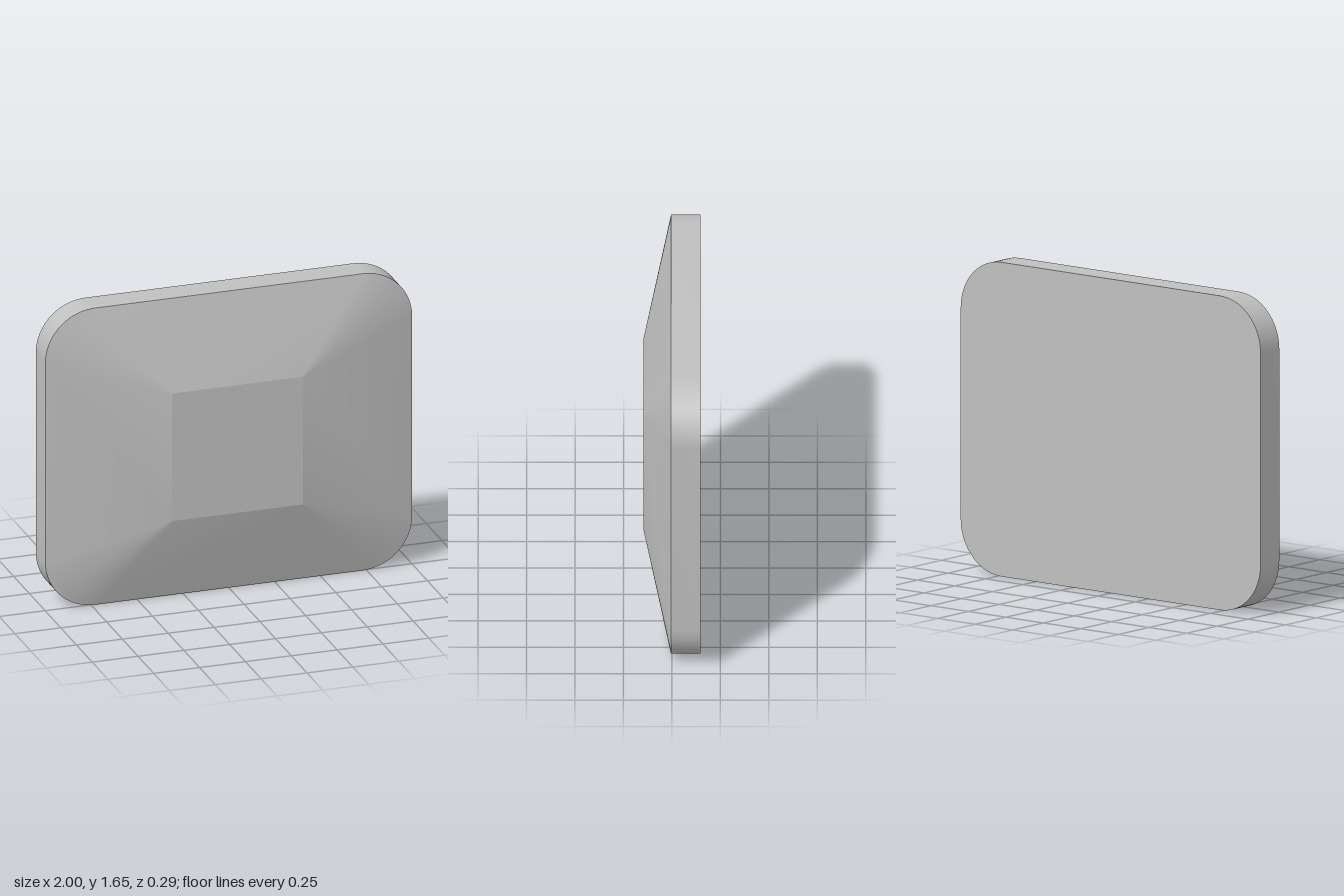
import * as THREE from 'three';
import { toCreasedNormals } from 'three/addons/utils/BufferGeometryUtils.js';

const HALF_W = 1, HALF_H = 0.825, RADIUS = 0.27, STEPS = 18;
const BACK_Z = -0.147, RIM_Z = 0.005, FRONT_Z = 0.147;

// Counter-clockwise rounded rectangle; radius 0 repeats each corner point
function ring(halfW, halfH, radius, z) {
  const points = [];
  [[1, 1], [-1, 1], [-1, -1], [1, -1]].forEach(([sx, sy], corner) => {
    for (let i = 0; i <= STEPS; i++) {
      const a = (corner + i / STEPS) * Math.PI / 2;
      points.push(new THREE.Vector3(
        sx * (halfW - radius) + radius * Math.cos(a),
        sy * (halfH - radius) + radius * Math.sin(a), z));
    }
  });
  return points;
}

function geometryFrom(triangles) {
  const geometry = new THREE.BufferGeometry().setFromPoints(triangles.flat());
  return toCreasedNormals(geometry, 0.15);
}

// Joins two rings, leaving out triangles that collapse to a line
function band(lower, upper) {
  const triangles = [];
  lower.forEach((a, i) => {
    const j = (i + 1) % lower.length;
    const b = lower[j], c = upper[j], d = upper[i];
    if (a.distanceTo(b) > 1e-6) triangles.push([a, b, c]);
    if (c.distanceTo(d) > 1e-6) triangles.push([a, c, d]);
  });
  return geometryFrom(triangles);
}

// Flat face closing a ring
function cap(points, facesBack) {
  const centre = new THREE.Vector3(0, 0, points[0].z);
  const triangles = [];
  points.forEach((a, i) => {
    const b = points[(i + 1) % points.length];
    if (a.distanceTo(b) > 1e-6) triangles.push(facesBack ? [centre, b, a] : [centre, a, b]);
  });
  return geometryFrom(triangles);
}

export function createModel() {
  const group = new THREE.Group();
  group.name = 'bevelledPanel';
  const grey = new THREE.MeshStandardMaterial({ color: 0xc0c0c0 });
  grey.name = 'light grey';

  const add = (name, geometry) => {
    const mesh = new THREE.Mesh(geometry, grey);
    mesh.name = name;
    mesh.position.y = HALF_H;
    group.add(mesh);
  };

  const back = ring(HALF_W, HALF_H, RADIUS, BACK_Z);
  const rim = ring(HALF_W, HALF_H, RADIUS, RIM_Z);
  const front = ring(0.357, 0.355, 0, FRONT_Z);

  add('backFace', cap(back, true));
  add('edgeWall', band(back, rim));
  add('frontBevel', band(rim, front));
  add('frontFace', cap(front, false));
  return group;
}
